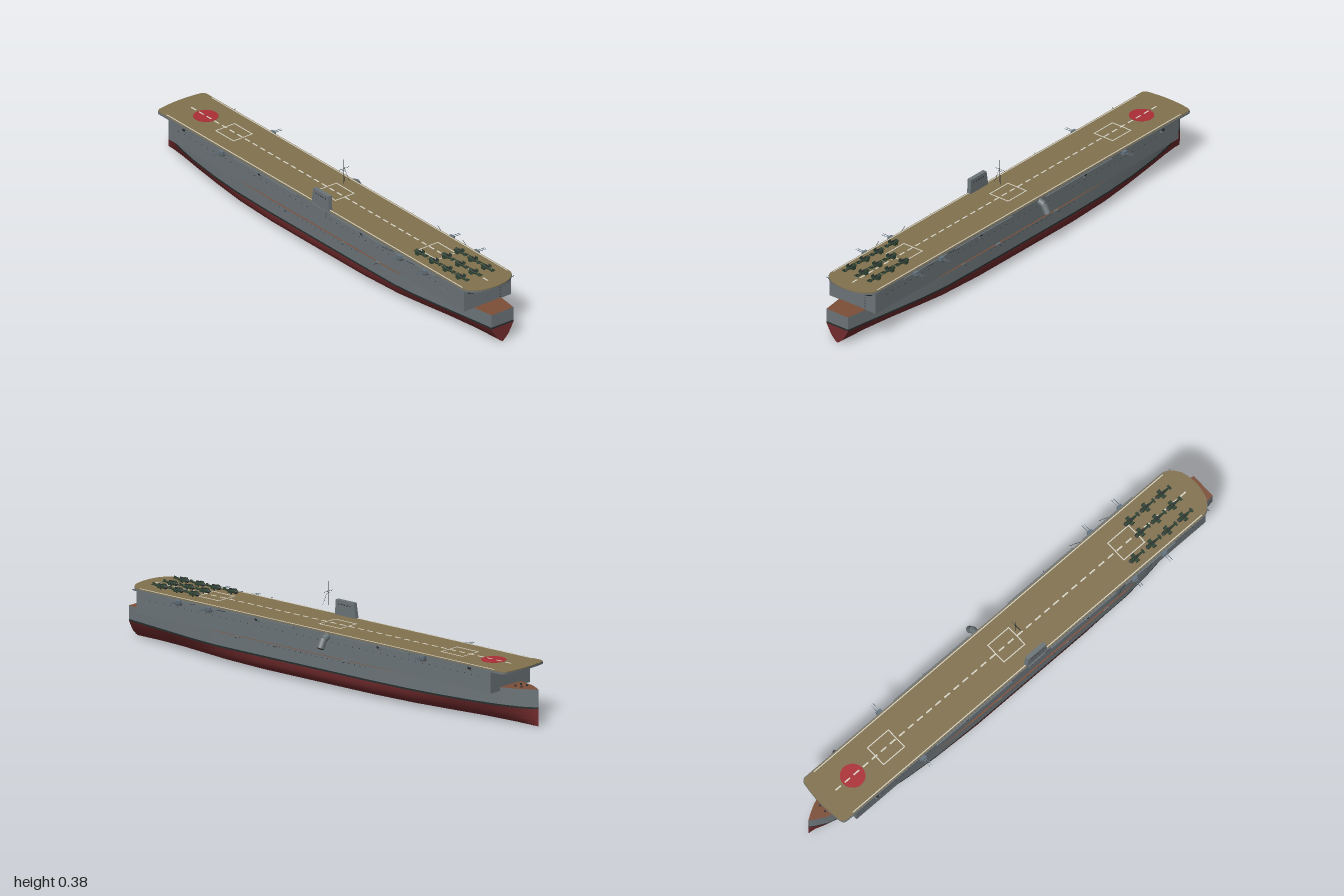
import * as THREE from 'three';
import { mergeGeometries, toCreasedNormals } from 'three/addons/utils/BufferGeometryUtils.js';

const mat = (name, color, side = THREE.FrontSide) => {
  const m = new THREE.MeshStandardMaterial({ color, side });
  m.name = name;
  return m;
};

const { lerp, smoothstep } = THREE.MathUtils;

// Hull half-width along z, then its cross-section as [width ratio midships, width ratio at the ends, y]
const BEAM = [[-1, 0.001], [-0.98, 0.014], [-0.94, 0.036], [-0.86, 0.06], [-0.75, 0.082], [-0.6, 0.102], [-0.45, 0.114],
  [-0.25, 0.119], [0, 0.119], [0.3, 0.119], [0.5, 0.118], [0.62, 0.107], [0.75, 0.089], [0.88, 0.07], [1, 0.053], [1, 0]];
const SECTION = [[0, 0, 0.001], [0.4, 0.1, 0.004], [0.67, 0.23, 0.009], [0.88, 0.55, 0.026], [0.98, 0.8, 0.048], [1, 1, 0.068], [1, 1, 0.075]];

function hullBand(from, to) {
  const pos = [], idx = [];
  const rows = to - from + 1;
  for (const side of [1, -1]) {
    const base = pos.length / 3;
    BEAM.forEach(([z, w], i) => {
      const ends = z > 0 ? smoothstep(z, 0.25, 1) : 0.8 * smoothstep(-z, 0.25, 1);
      const top = 0.128 + 0.016 * smoothstep(-z, 0.5, 1);
      for (let r = from; r <= to; r++) {
        const [a, b, y] = r < 7 ? SECTION[r] : r === 7 ? [1, 1, top] : [0, 0, top];
        pos.push(side * w * lerp(a, b, ends), y, z);
        if (i && r < to) {
          const c = base + i * rows + r - from, p = c - rows;
          const quad = [p, p + 1, c, p + 1, c + 1, c];
          idx.push(...(side > 0 ? quad : quad.reverse()));
        }
      }
    });
  }
  const g = new THREE.BufferGeometry();
  g.setAttribute('position', new THREE.Float32BufferAttribute(pos, 3));
  g.setIndex(idx);
  return toCreasedNormals(g, 0.6);
}

// Flight deck outline, swept down from y
function deckGeometry(y, depth, half) {
  const s = new THREE.Shape();
  s.moveTo(-half, -0.91);
  s.quadraticCurveTo(-half, -0.928, -half + 0.02, -0.932);
  s.quadraticCurveTo(0, -0.948, half - 0.02, -0.932);
  s.quadraticCurveTo(half, -0.928, half, -0.91);
  s.lineTo(half, 0.89);
  s.quadraticCurveTo(half, 0.93, 0.065, 0.955);
  s.quadraticCurveTo(0, 0.975, -0.065, 0.955);
  s.quadraticCurveTo(-half, 0.93, -half, 0.89);
  const g = new THREE.ExtrudeGeometry(s, { depth, bevelEnabled: false, curveSegments: 8 });
  return g.rotateX(Math.PI / 2).translate(0, y, 0);
}

const box = (w, h, d, x, y, z) => new THREE.BoxGeometry(w, h, d).translate(x, y, z);

// Cylinder between two points
function rod(a, b, r, r2 = r, sides = 6) {
  const p = new THREE.Vector3(...a), q = new THREE.Vector3(...b);
  const d = q.clone().sub(p);
  const g = new THREE.CylinderGeometry(r2, r, d.length(), sides);
  g.applyQuaternion(new THREE.Quaternion().setFromUnitVectors(new THREE.Vector3(0, 1, 0), d.normalize()));
  return g.translate(...p.add(q).multiplyScalar(0.5).toArray());
}

export function createModel() {
  const ship = new THREE.Group();
  ship.name = 'aircraftCarrier';
  const grey = mat('hull grey', 0x6c7478, THREE.DoubleSide);
  const red = mat('bottom red', 0x742c2e, THREE.DoubleSide);
  const boot = mat('waterline black', 0x252e2d, THREE.DoubleSide);
  const brown = mat('planking brown', 0x7c4f38, THREE.DoubleSide);
  const tan = mat('flight deck tan', 0x82724f);
  const white = mat('marking white', 0xd8d6c8);
  const disc = mat('disc red', 0xac2f36);
  const dark = mat('dark metal', 0x2b3033);
  const green = mat('aircraft green', 0x2f4233);
  const steel = mat('gun steel', 0x62727f);

  const add = (name, geometry, material, parent = ship) => {
    const g = Array.isArray(geometry) ? mergeGeometries(geometry.map(k => (k.index ? k.toNonIndexed() : k))) : geometry;
    const m = new THREE.Mesh(g, material);
    m.name = name;
    parent.add(m);
    return m;
  };

  // Hull in colour bands
  add('hullBottom', hullBand(0, 5), red);
  add('waterlineBand', hullBand(5, 6), boot);
  add('hullSides', hullBand(6, 7), grey);
  add('weatherDeck', hullBand(7, 8), brown);

  // Hangar and flight deck
  add('hangar', box(0.226, 0.088, 1.77, 0, 0.17, 0.025), grey);
  add('flightDeckEdge', deckGeometry(0.2185, 0.007, 0.118), grey);
  add('flightDeck', deckGeometry(0.2215, 0.003, 0.115), tan);
  const walks = [];
  for (const s of [1, -1]) for (const [a, b] of [[-0.46, -0.08], [0.12, 0.45], [0.5, 0.75]])
    walks.push(box(0.01, 0.007, b - a, s * 0.118, 0.211, (a + b) / 2));
  add('catwalks', walks, grey);

  // Deck markings
  const marks = [];
  const line = (w, d, x, z) => marks.push(box(w, 0.001, d, x, 0.2222, z));
  for (let z = -0.85; z < 0.9; z += 0.046) line(0.006, 0.028, 0, z);
  for (const s of [1, -1]) line(0.004, 1.77, s * 0.109, 0.01);
  for (const z of [-0.608, 0.002, 0.61]) {
    for (const s of [1, -1]) {
      line(0.004, 0.105, s * 0.045, z);
      line(0.094, 0.004, 0, z + s * 0.053);
    }
  }
  add('deckMarkings', marks, white);
  add('deckDisc', new THREE.CylinderGeometry(0.048, 0.048, 0.001, 32).translate(0, 0.2219, -0.777), disc);

  // Island, with sloping forward edge
  const profile = new THREE.Shape([[-0.105, 0.2], [0.003, 0.2], [-0.01, 0.28], [-0.1, 0.28]].map(p => new THREE.Vector2(...p)));
  const island = new THREE.ExtrudeGeometry(profile, { depth: 0.017, bevelEnabled: false });
  add('island', island.rotateY(Math.PI / 2).translate(-0.116, 0, 0), grey);
  const windows = [];
  for (let i = 0; i < 5; i++) windows.push(box(0.019, 0.004, 0.006, -0.1075, 0.265, 0.028 + i * 0.014));
  add('islandWindows', windows, dark);
  add('islandSupport', box(0.01, 0.03, 0.08, -0.116, 0.2, 0.05), grey);

  // Mast with tripod and yards
  add('mast', [
    rod([0, 0.287, 0.05], [0, 0.38, 0.05], 0.0015, 0.0007),
    rod([0.015, 0.287, 0.065], [0, 0.35, 0.05], 0.0005),
    rod([-0.015, 0.287, 0.065], [0, 0.35, 0.05], 0.0005),
    rod([-0.024, 0.341, 0.05], [0.024, 0.341, 0.05], 0.0007),
    rod([-0.01, 0.334, 0.05], [0.01, 0.334, 0.05], 0.0007),
  ], dark);

  // Downturned funnel on the left side
  const z = -0.045;
  add('funnel', [rod([0.108, 0.208, z], [0.138, 0.196, z], 0.013, 0.014, 16),
    rod([0.134, 0.2, z], [0.154, 0.165, z], 0.014, 0.014, 16)], grey);
  add('funnelMouth', rod([0.1535, 0.1658, z], [0.1545, 0.164, z], 0.0125, 0.0125, 16), dark);

  // Heavy guns on sponsons, light guns, and folded radio masts
  const sponsons = [], heavy = [], light = [], poles = [];
  for (const s of [1, -1]) {
    for (const z of [-0.53, 0.54, 0.69]) {
      sponsons.push(rod([s * 0.121, 0.197, z], [s * 0.121, 0.207, z], 0.011, 0.015, 12));
      heavy.push(box(0.017, 0.01, 0.022, s * 0.123, 0.212, z));
      for (const d of [-0.005, 0.005]) heavy.push(rod([s * 0.125, 0.212, z + d], [s * 0.165, 0.212, z + d], 0.0011));
    }
    for (const z of [-0.76, -0.305, 0.305]) {
      sponsons.push(box(0.016, 0.005, 0.02, s * 0.117, 0.203, z));
      light.push(box(0.008, 0.007, 0.012, s * 0.12, 0.209, z), rod([s * 0.12, 0.211, z], [s * 0.129, 0.216, z], 0.001));
    }
    for (const z of [-0.14, 0.2, 0.4]) {
      sponsons.push(box(0.012, 0.008, 0.024, s * 0.115, 0.124, z));
      light.push(rod([s * 0.117, 0.124, z], [s * 0.135, 0.124, z], 0.001));
    }
    for (const z of [0.5, 0.65]) poles.push(rod([s * 0.116, 0.21, z], [s * 0.135, 0.217, z - 0.055], 0.0008));
    poles.push(rod([s * 0.07, 0.193, 0.915], [s * 0.112, 0.214, 0.93], 0.0015));
  }
  add('gunSponsons', sponsons, grey);
  add('heavyGuns', heavy, steel);
  add('lightGuns', light, dark);
  add('radioMastsAndStruts', poles, dark);

  // Portholes and stern ladder
  const holes = [];
  const hole = (s, x, y, z) => holes.push(new THREE.CircleGeometry(0.0022, 6).rotateY(s * Math.PI / 2).translate(s * x, y, z));
  for (const s of [1, -1]) {
    for (let i = 0; i < 48; i++) hole(s, 0.1135, 0.185, -0.8 + i * 0.035);
    for (let i = 0; i < 20; i++) hole(s, 0.1195, 0.12, -0.24 + i * 0.027);
  }
  for (let i = 0; i < 9; i++) holes.push(box(0.004, 0.0015, 0.002, 0.061, 0.135 + i * 0.009, 0.911));
  add('portholesAndLadder', holes, dark);
  const fittings = [];
  for (const s of [1, -1]) for (const z of [-0.9, -0.93]) fittings.push(rod([s * 0.015, 0.138, z], [s * 0.015, 0.149, z], 0.004));
  add('bowBollards', fittings, dark);

  // Parked aircraft with folded wings, noses toward the bow
  const body = rod([0, 0.231, -0.03], [0, 0.231, 0.035], 0.0085, 0.0025, 10);
  const plane = [body, box(0.036, 0.002, 0.016, 0, 0.228, -0.008), box(0.02, 0.0015, 0.009, 0, 0.232, 0.031),
    box(0.0015, 0.009, 0.01, 0, 0.235, 0.031)];
  for (const s of [1, -1]) plane.push(box(0.002, 0.01, 0.016, s * 0.017, 0.232, -0.008));
  const trim = [rod([0, 0.231, -0.037], [0, 0.231, -0.03], 0.002, 0.008, 10), box(0.018, 0.001, 0.001, 0, 0.231, -0.035),
    box(0.005, 0.005, 0.02, 0, 0.238, -0.004)];
  for (const s of [1, -1]) trim.push(rod([s * 0.01, 0.2215, -0.012], [s * 0.01, 0.228, -0.012], 0.003));
  const planeBody = mergeGeometries(plane), planeTrim = mergeGeometries(trim);
  [-0.07, -0.008, 0.053].forEach((x, col) => {
    for (const z of [0.845, 0.765, 0.685, 0.6].slice(0, col ? 3 : 4)) {
      const aircraft = new THREE.Group();
      aircraft.name = 'parkedAircraft';
      aircraft.position.set(x, 0, z);
      add('airframe', planeBody, green, aircraft);
      add('propellerCanopyWheels', planeTrim, dark, aircraft);
      ship.add(aircraft);
    }
  });
  return ship;
}
